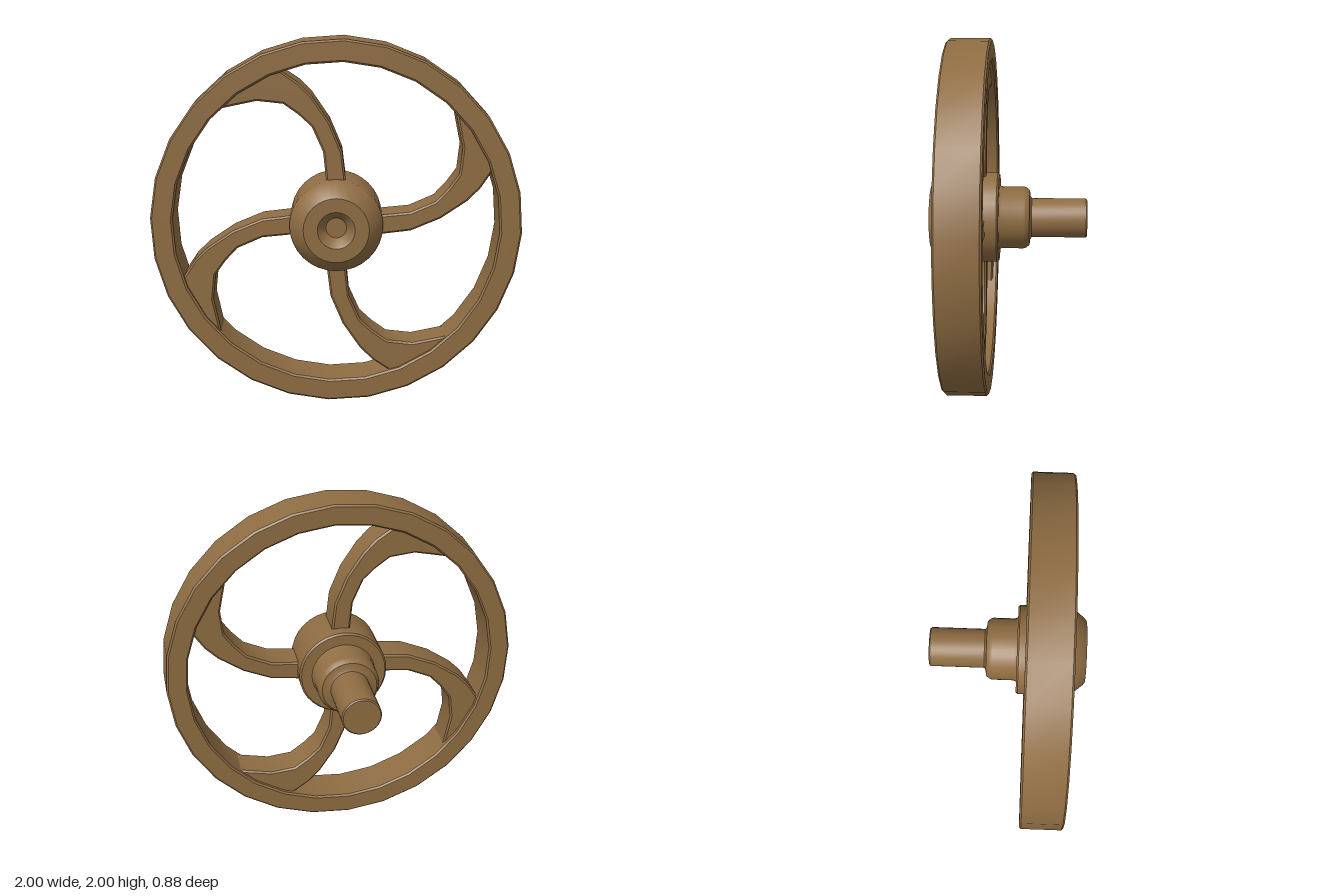
import * as THREE from 'three';
import { toCreasedNormals } from 'three/addons/utils/BufferGeometryUtils.js';

const bronze = new THREE.MeshStandardMaterial({ color: 0x8f6d43 });
bronze.name = 'bronze';

// Revolve [radius, z] points around the z axis
function turned(name, profile, sides, crease) {
  const geo = new THREE.LatheGeometry(profile.map(([r, z]) => new THREE.Vector2(r, z)), sides);
  geo.rotateX(Math.PI / 2);
  const mesh = new THREE.Mesh(toCreasedNormals(geo, crease), bronze);
  mesh.name = name;
  return mesh;
}

export function createModel() {
  const group = new THREE.Group();
  group.name = 'handwheel';
  const wheel = new THREE.Group();
  wheel.name = 'wheel';
  wheel.position.y = 1;
  group.add(wheel);

  // Rim: coarse ring with slightly bevelled edges
  const rim = turned('rim', [
    [0.89, 0.097], [0.99, 0.097], [1, 0.107], [1, 0.33], [0.99, 0.34],
    [0.89, 0.34], [0.88, 0.33], [0.88, 0.107], [0.89, 0.097],
  ], 28, 0.6);
  rim.rotation.z = THREE.MathUtils.degToRad(-2.4);
  wheel.add(rim);

  // Hub: chamfered front with a dished socket
  wheel.add(turned('hub', [
    [0, 0.052], [0.242, 0.052], [0.252, 0.062], [0.252, 0.335], [0.245, 0.358],
    [0.19, 0.425], [0.175, 0.437], [0.1, 0.437], [0.09, 0.43], [0.055, 0.375], [0, 0.375],
  ], 32, 0.55));

  // Stepped shaft behind the hub
  wheel.add(turned('shaft', [
    [0, -0.44], [0.103, -0.44], [0.11, -0.433], [0.11, -0.13], [0.122, -0.122],
    [0.155, -0.118], [0.17, -0.1], [0.175, -0.085], [0.175, 0.035], [0.185, 0.06],
  ], 32, 0.6));

  // Curved spokes, flaring where they meet the rim
  const outline = [
    [0.05, 0.2], [0.05, 0.25], [0.032, 0.4], [-0.035, 0.56], [-0.13, 0.7], [-0.2, 0.77],
    [-0.29, 0.83], [-0.32, 0.87], [-0.5, 0.785], [-0.66, 0.655], [-0.62, 0.63],
    [-0.42, 0.672], [-0.28, 0.657], [-0.2, 0.6], [-0.13, 0.535], [-0.07, 0.4], [-0.055, 0.25], [-0.055, 0.2],
  ].map(([x, y]) => new THREE.Vector2(x, y));
  const bevel = 0.01;
  const spokeGeo = new THREE.ExtrudeGeometry(new THREE.Shape(outline), {
    depth: 0.17, bevelThickness: bevel, bevelSize: bevel, bevelOffset: -bevel, bevelSegments: 1,
  });
  spokeGeo.translate(0, 0, 0.135);
  const creasedSpoke = toCreasedNormals(spokeGeo, 0.6);
  for (let i = 0; i < 4; i++) {
    const spoke = new THREE.Mesh(creasedSpoke, bronze);
    spoke.name = `spoke${i + 1}`;
    spoke.rotation.z = i * Math.PI / 2;
    wheel.add(spoke);
  }
  return group;
}
